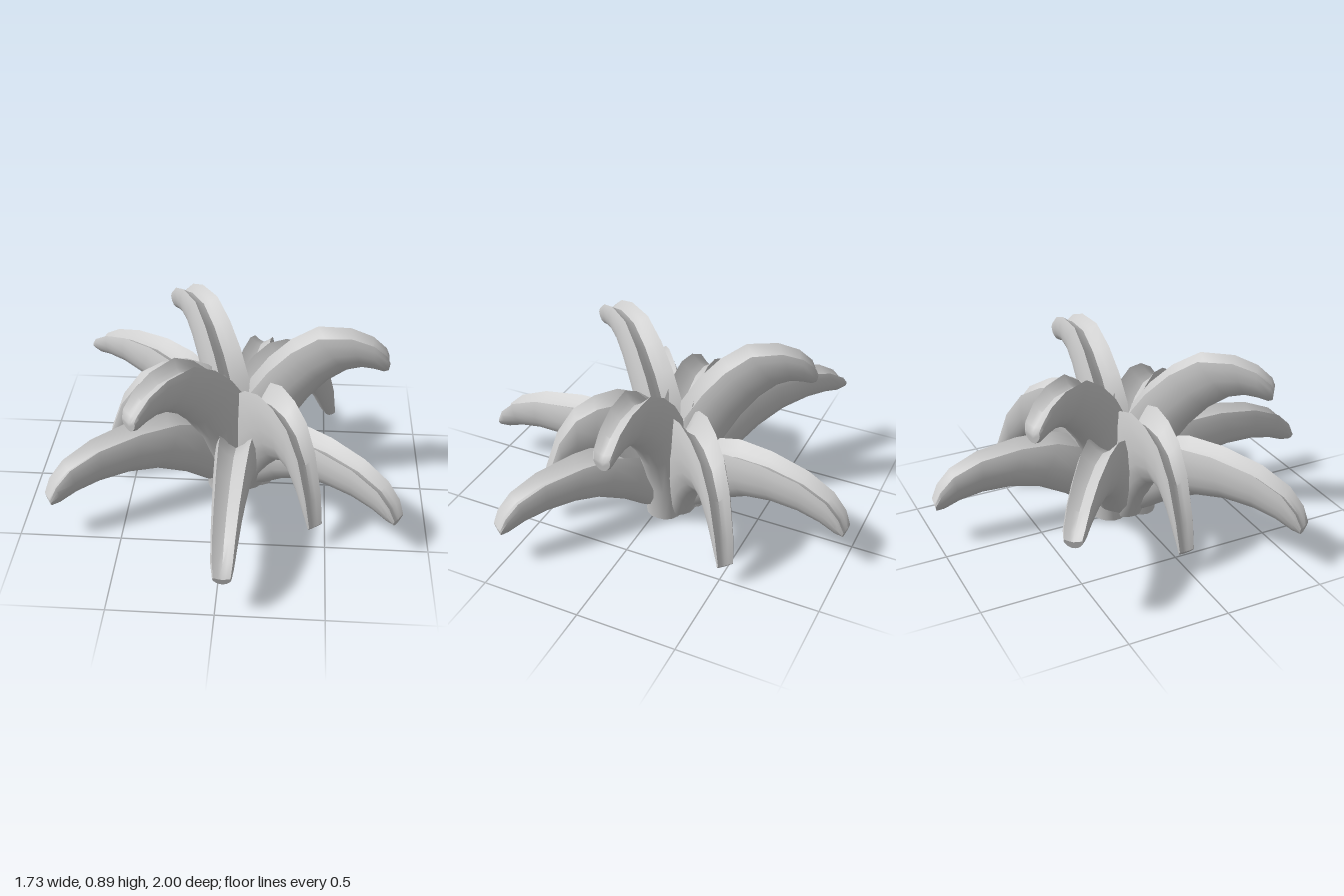
import * as THREE from 'three';
import { toCreasedNormals } from 'three/addons/utils/BufferGeometryUtils.js';

const material = new THREE.MeshStandardMaterial({ color: 0xcccccc, side: THREE.DoubleSide });
const ORIGIN = [0.05, -0.04]; // x, z where all leaves meet

// Grooved leaf section: u across (half widths), v from underside (0) to rim (1)
const RIGHT_HALF = [[0.36, 0.02], [0.7, 0.12], [0.92, 0.3], [1, 0.52], [0.95, 0.82], [0.78, 1], [0.36, 0.85]];
const SECTION = [
  [0, 0], ...RIGHT_HALF, [0, 0.78],
  ...RIGHT_HALF.map(([u, v]) => [-u, v]).reverse(),
];

// Leaf side profiles: rim and underside as [distance outward, height]
const TALL = {
  rim: [[0.01, 0.03], [0.02, 0.32], [0.05, 0.57], [0.14, 0.7], [0.25, 0.81], [0.38, 0.89], [0.54, 0.89], [0.65, 0.85], [0.72, 0.79], [0.735, 0.755]],
  under: [[0.18, 0.015], [0.2, 0.2], [0.26, 0.4], [0.35, 0.54], [0.44, 0.64], [0.53, 0.7], [0.6, 0.715], [0.66, 0.705], [0.71, 0.69], [0.73, 0.695]],
  width: [0.095, 0.1, 0.1, 0.097, 0.09, 0.081, 0.072, 0.064, 0.058, 0.048],
};
const MID = {
  rim: [[0.0, 0.08], [0.02, 0.4], [0.07, 0.58], [0.16, 0.65], [0.27, 0.685], [0.39, 0.665], [0.5, 0.605], [0.59, 0.48], [0.66, 0.28], [0.69, 0.13]],
  under: [[0.16, 0.03], [0.19, 0.09], [0.23, 0.17], [0.29, 0.26], [0.35, 0.33], [0.43, 0.37], [0.5, 0.345], [0.57, 0.25], [0.62, 0.16], [0.665, 0.1]],
  width: [0.09, 0.095, 0.097, 0.094, 0.09, 0.082, 0.074, 0.066, 0.058, 0.048],
};
const LOW = {
  rim: [[0.03, 0.2], [0.1, 0.34], [0.2, 0.43], [0.34, 0.475], [0.52, 0.475], [0.72, 0.44], [0.86, 0.375], [0.93, 0.3], [0.96, 0.23]],
  under: [[0.14, 0.05], [0.2, 0.085], [0.3, 0.16], [0.44, 0.23], [0.58, 0.255], [0.72, 0.25], [0.83, 0.225], [0.91, 0.19], [0.95, 0.185]],
  width: [0.105, 0.106, 0.103, 0.096, 0.086, 0.074, 0.066, 0.06, 0.05],
};
const RAISED = {
  rim: [[0.03, 0.2], [0.1, 0.4], [0.22, 0.52], [0.38, 0.59], [0.55, 0.61], [0.75, 0.59], [0.9, 0.545], [0.99, 0.49], [1.02, 0.45]],
  under: [[0.14, 0.04], [0.22, 0.13], [0.32, 0.24], [0.47, 0.34], [0.62, 0.4], [0.77, 0.42], [0.89, 0.415], [0.97, 0.4], [1.01, 0.405]],
  width: LOW.width,
};

// Profile, tip x, tip z, height factor
const LEAVES = [
  [TALL, 0.785, -0.045, 1], [TALL, -0.415, 0.575, 1], [TALL, -0.32, -0.645, 1],
  [MID, 0.45, 0.5, 1], [MID, 0.53, -0.54, 1], [MID, -0.645, -0.02, 1],
  [LOW, 0.84, 0.515, 0.94], [LOW, -0.845, 0.5, 1.04], [LOW, 0.035, 1.0, 0.97], [LOW, 0.15, -1.0, 1],
  [RAISED, -0.78, -0.655, 1],
];

function leafGeometry({ rim, under, width }, tipX, tipZ, heightFactor) {
  const length = Math.hypot(tipX - ORIGIN[0], tipZ - ORIGIN[1]);
  const dx = (tipX - ORIGIN[0]) / length, dz = (tipZ - ORIGIN[1]) / length;
  const stretch = length / rim[rim.length - 1][0];
  const n = SECTION.length, last = rim.length - 1;
  const positions = [], index = [];

  const addPoint = (i, u, v) => {
    const r = THREE.MathUtils.lerp(under[i][0], rim[i][0], v) * stretch;
    const y = THREE.MathUtils.lerp(under[i][1], rim[i][1], v) * heightFactor;
    // The underside pinches to a keel towards the tip
    const keel = THREE.MathUtils.lerp(1 - 0.5 * (i / last) ** 3, 1, v);
    const s = u * width[i] * keel;
    positions.push(ORIGIN[0] + r * dx + s * dz, y, ORIGIN[1] + r * dz - s * dx);
  };

  for (let i = 0; i <= last; i++) SECTION.forEach(([u, v]) => addPoint(i, u, v));
  addPoint(0, 0, 0.4);
  addPoint(last, 0, 0.4);

  // Skin between sections, then a fan at each end
  const startCap = (last + 1) * n, endCap = startCap + 1;
  for (let k = 0; k < n; k++) {
    const next = (k + 1) % n;
    for (let i = 0; i < last; i++) {
      const a = i * n + k, b = i * n + next;
      index.push(a, b, b + n, a, b + n, a + n);
    }
    index.push(startCap, next, k, endCap, last * n + k, last * n + next);
  }

  const geometry = new THREE.BufferGeometry();
  geometry.setAttribute('position', new THREE.Float32BufferAttribute(positions, 3));
  geometry.setIndex(index);
  return toCreasedNormals(geometry, 0.7);
}

export function createModel() {
  const model = new THREE.Group();
  model.name = 'plant';

  // Curved, grooved leaves
  LEAVES.forEach((leaf, i) => {
    const mesh = new THREE.Mesh(leafGeometry(...leaf), material);
    mesh.name = `leaf${i + 1}`;
    model.add(mesh);
  });

  // Small stub joining the leaves underneath
  const core = new THREE.Mesh(new THREE.CylinderGeometry(0.11, 0.05, 0.05, 7), material);
  core.name = 'core';
  core.position.set(0.09, 0.025, -0.02);
  model.add(core);

  return model;
}
